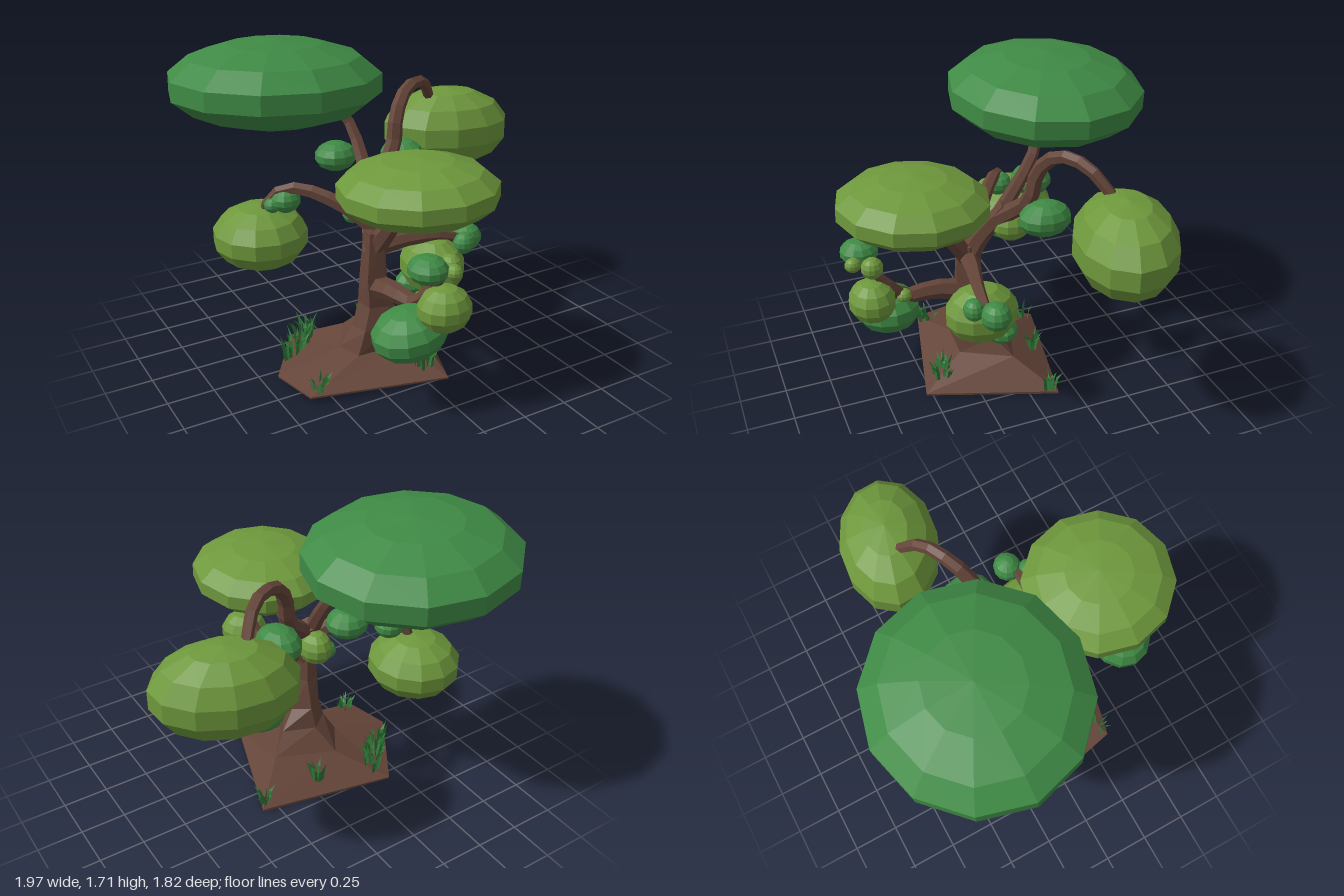
import * as THREE from 'three';

const mat = (color, extra = {}) => new THREE.MeshStandardMaterial({ color, flatShading: true, ...extra });
const bark = mat(0x654539);
const green = mat(0x3f8a45);
const olive = mat(0x6e983c);
const blade = mat(0x2f7a38, { side: THREE.DoubleSide });

// Skin a stack of equal-length rings (counterclockwise about the growth direction), closed at both ends
function loft(rings) {
  const n = rings[0].length, pos = [], idx = [];
  rings.forEach(r => r.forEach(p => pos.push(p.x, p.y, p.z)));
  for (let k = 0; k < rings.length - 1; k++) {
    for (let i = 0; i < n; i++) {
      const a = k * n + i, b = k * n + (i + 1) % n;
      idx.push(a, b, b + n, a, b + n, a + n);
    }
  }
  const top = (rings.length - 1) * n;
  for (let i = 1; i < n - 1; i++) idx.push(0, i + 1, i, top, top + i, top + i + 1);
  const g = new THREE.BufferGeometry();
  g.setAttribute('position', new THREE.Float32BufferAttribute(pos, 3));
  g.setIndex(idx);
  g.computeVertexNormals();
  return g;
}

// Tapered six-sided limb along a curve
function limb(points, r0, r1) {
  const curve = new THREE.CatmullRomCurve3(points.map(p => new THREE.Vector3(...p)));
  const steps = (points.length - 1) * 2, sides = 6;
  const { normals, binormals } = curve.computeFrenetFrames(steps);
  const rings = [];
  for (let k = 0; k <= steps; k++) {
    const c = curve.getPointAt(k / steps), r = r0 + (r1 - r0) * k / steps;
    rings.push(Array.from({ length: sides }, (_, i) => {
      const a = i / sides * Math.PI * 2;
      return c.clone().addScaledVector(normals[k], r * Math.cos(a)).addScaledVector(binormals[k], r * Math.sin(a));
    }));
  }
  return loft(rings);
}

// Small seeded generator
function seeded(s) {
  return () => (s = (s * 16807) % 2147483647) / 2147483647;
}

// Clump of bent, pointed blades
function tuftGeometry(seed, count, height, spread) {
  const rnd = seeded(seed), pos = [];
  for (let i = 0; i < count; i++) {
    const a = rnd() * Math.PI * 2, d = Math.sqrt(rnd()) * spread, h = height * (0.5 + 0.5 * rnd());
    const lean = 0.02 + 0.03 * rnd(), w = 0.009, t = rnd() * Math.PI;
    const x = Math.cos(a) * d, z = Math.sin(a) * d, wx = Math.cos(t) * w, wz = Math.sin(t) * w;
    const mx = x + Math.cos(a) * lean * 0.3, mz = z + Math.sin(a) * lean * 0.3, my = h * 0.6;
    const A = [x - wx, -0.02, z - wz], B = [x + wx, -0.02, z + wz];
    const C = [mx + wx, my, mz + wz], D = [mx - wx, my, mz - wz];
    const T = [x + Math.cos(a) * lean, h, z + Math.sin(a) * lean];
    pos.push(...A, ...B, ...C, ...A, ...C, ...D, ...D, ...C, ...T);
  }
  const g = new THREE.BufferGeometry();
  g.setAttribute('position', new THREE.Float32BufferAttribute(pos, 3));
  g.computeVertexNormals();
  return g;
}

export function createModel() {
  const tree = new THREE.Group();
  tree.name = 'bonsaiTree';
  const add = (name, geometry, material, parent = tree) => {
    const m = new THREE.Mesh(geometry, material);
    m.name = name;
    parent.add(m);
    return m;
  };

  // Five-sided ground mound rising into the trunk: [x, y, z] corners per ring
  const trunkRings = [
    [[-0.62, 0.03, 0.37], [0.1, 0.015, 0.54], [0.34, 0, -0.15], [-0.42, 0, -0.305], [-0.68, 0.03, 0.1]],
    [[-0.62, 0.04, 0.37], [0.1, 0.025, 0.54], [0.34, 0.015, -0.15], [-0.42, 0.01, -0.305], [-0.68, 0.04, 0.1]],
    [[-0.29, 0.13, 0.27], [-0.05, 0.14, 0.29], [0.14, 0.17, 0.04], [-0.2, 0.14, -0.07], [-0.33, 0.13, 0.13]],
    [[-0.25, 0.26, 0.27], [-0.08, 0.27, 0.3], [0.04, 0.26, 0.12], [-0.14, 0.26, 0.05], [-0.26, 0.25, 0.15]],
    [[-0.21, 0.38, 0.25], [-0.11, 0.38, 0.27], [-0.05, 0.36, 0.16], [-0.13, 0.38, 0.08], [-0.22, 0.38, 0.14]],
    [[-0.22, 0.55, 0.25], [-0.13, 0.55, 0.27], [-0.08, 0.55, 0.2], [-0.13, 0.55, 0.12], [-0.22, 0.55, 0.16]],
    [[-0.2, 0.8, 0.24], [-0.13, 0.78, 0.26], [-0.09, 0.78, 0.2], [-0.13, 0.8, 0.13], [-0.2, 0.8, 0.17]],
  ];
  add('trunk', loft(trunkRings.map(r => r.map(p => new THREE.Vector3(...p)))), bark);

  // Branches: name, path, start radius, end radius
  [
    ['frontCanopyBranch', [[-0.15, 0.7, 0.2], [-0.12, 0.83, 0.29], [-0.09, 1.02, 0.44]], 0.06, 0.03],
    ['mainFork', [[-0.15, 0.68, 0.2], [-0.13, 0.82, 0.13], [-0.08, 0.95, 0.04], [-0.05, 1.02, 0]], 0.065, 0.045],
    ['topBranch', [[-0.09, 0.94, 0.04], [-0.08, 1.12, -0.07], [-0.1, 1.28, -0.17], [-0.2, 1.42, -0.24]], 0.045, 0.025],
    ['archedBranch', [[-0.09, 0.93, 0.05], [0.02, 1.03, -0.02], [0.11, 1.12, -0.06], [0.15, 1.3, -0.09],
      [0.25, 1.41, -0.15], [0.4, 1.41, -0.23], [0.52, 1.26, -0.34]], 0.05, 0.028],
    ['leftSideBranch', [[-0.14, 0.8, 0.16], [-0.26, 0.91, 0.08], [-0.46, 0.995, -0.08], [-0.56, 0.95, -0.15],
      [-0.6, 0.82, -0.2]], 0.05, 0.025],
    ['rightSideBranch', [[-0.14, 0.7, 0.2], [0, 0.72, 0.22], [0.2, 0.715, 0.26], [0.36, 0.66, 0.27]], 0.05, 0.025],
    ['frontLowBranch', [[-0.15, 0.48, 0.2], [-0.15, 0.53, 0.4], [-0.13, 0.54, 0.56], [-0.1, 0.65, 0.66],
      [-0.1, 0.79, 0.77]], 0.065, 0.022],
  ].forEach(([name, path, r0, r1]) => add(name, limb(path, r0, r1), bark));

  // Foliage: name, material, centre, radii, rotation
  const foliage = new THREE.Group();
  foliage.name = 'foliage';
  tree.add(foliage);
  const leafBall = new THREE.SphereGeometry(1, 12, 7);
  [
    ['topCanopy', green, [-0.42, 1.485, -0.37], [0.58, 0.225, 0.55], [-0.03, 0, -0.03]],
    ['frontCanopy', olive, [-0.085, 1.11, 0.505], [0.405, 0.165, 0.412], [-0.04, 0, 0]],
    ['archCanopy', olive, [0.635, 1.085, -0.34], [0.375, 0.237, 0.265], [0, -0.3, 0]],
    ['sideCanopy', olive, [-0.605, 0.71, -0.225], [0.255, 0.177, 0.265]],
    ['lowFrontClump', green, [-0.21, 0.435, 0.645], [0.2, 0.13, 0.177], [0, 0, 0.15]],
    ['middleFrontClump', olive, [-0.085, 0.585, 0.757], [0.14, 0.12, 0.128]],
    ['rightClump', olive, [0.18, 0.545, 0.237], [0.167, 0.163, 0.202]],
    ['rightUnderClump', green, [0.157, 0.41, 0.13], [0.13, 0.075, 0.095]],
    ['rightTipClump', green, [0.397, 0.655, 0.237], [0.085, 0.077, 0.08]],
    ['rightTipBud', green, [0.32, 0.67, 0.33], [0.062, 0.06, 0.055]],
    ['leftBranchClump', green, [-0.5, 0.925, -0.12], [0.08, 0.067, 0.08]],
    ['leftBranchBud', green, [-0.57, 0.905, -0.13], [0.045, 0.04, 0.045]],
    ['frontTipClump', green, [-0.2, 0.83, 0.78], [0.098, 0.07, 0.105]],
    ['frontTipBud', olive, [-0.055, 0.8, 0.75], [0.057, 0.06, 0.06]],
    ['frontTipSmallBud', olive, [-0.095, 0.815, 0.84], [0.04, 0.04, 0.045]],
    ['frontBranchBud', olive, [-0.1, 0.565, 0.58], [0.045, 0.037, 0.045]],
    ['forkClump', olive, [-0.07, 0.895, -0.035], [0.09, 0.095, 0.11]],
    ['forkBud', green, [-0.17, 0.82, 0], [0.055, 0.05, 0.055]],
    ['archStemClump', green, [0.2, 1.05, -0.11], [0.115, 0.095, 0.142]],
    ['topStemClump', green, [-0.17, 1.09, -0.185], [0.115, 0.08, 0.11]],
  ].forEach(([name, material, centre, radii, rotation = [0, 0, 0]]) => {
    const m = add(name, leafBall, material, foliage);
    m.position.set(...centre);
    m.scale.set(...radii);
    m.rotation.set(...rotation);
  });

  // Grass tufts: position, blade count, height, spread
  const grass = new THREE.Group();
  grass.name = 'grass';
  tree.add(grass);
  const tufts = [
    [[0.02, 0.06, 0.42], 20, 0.14, 0.05],
    [[-0.55, 0.06, 0.33], 14, 0.08, 0.04],
    [[0.3, 0.03, -0.11], 12, 0.12, 0.03],
    [[-0.03, 0.08, -0.14], 12, 0.13, 0.03],
  ];
  for (let i = 0; i < 5; i++) {
    tufts.push([[-0.54 + i * 0.045, 0.055, -0.03 - i * 0.045], 9, 0.13, 0.045]);
  }
  tufts.forEach(([p, count, height, spread], i) => {
    add('grassTuft', tuftGeometry(101 + i * 977, count, height, spread), blade, grass).position.set(...p);
  });

  return tree;
}
